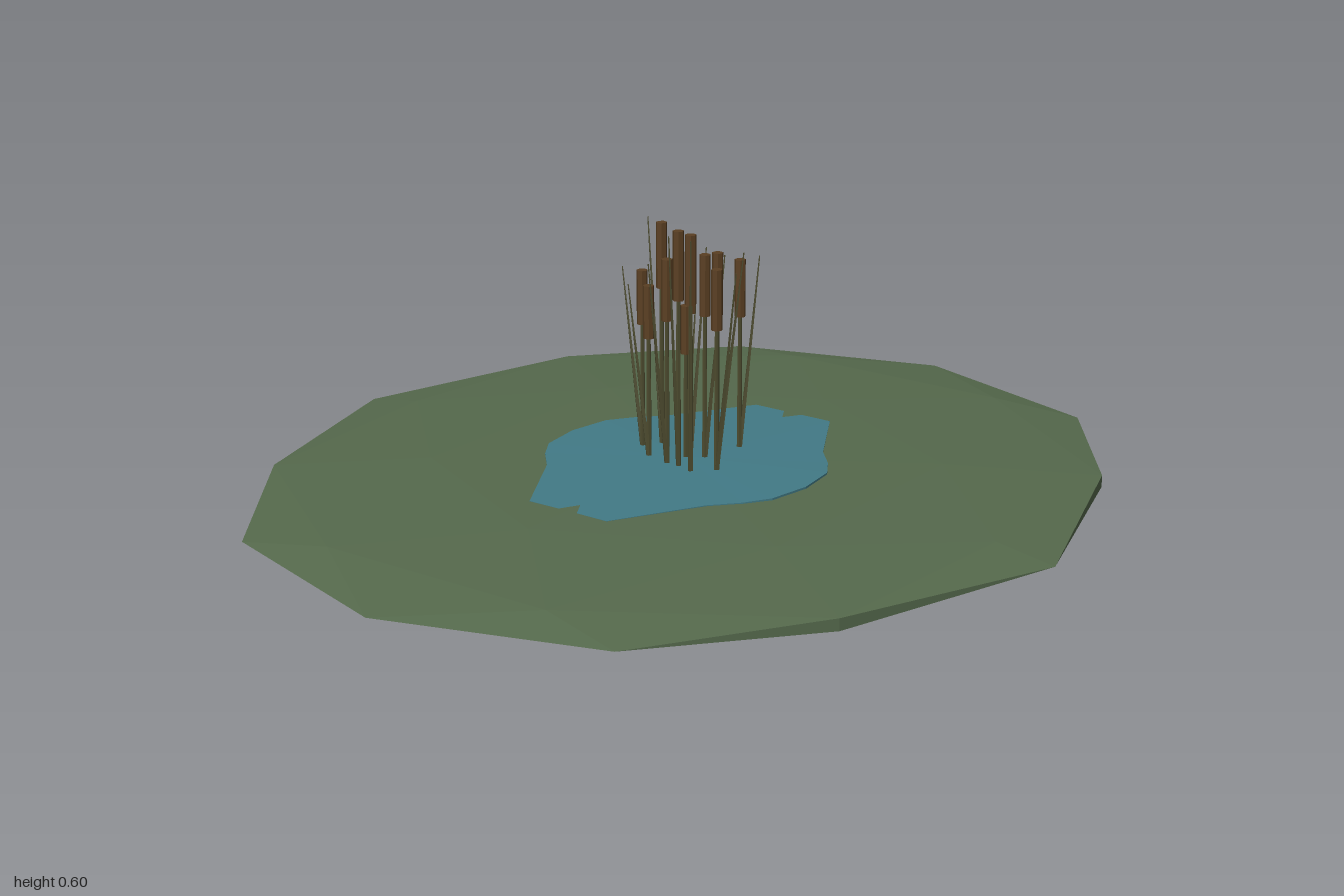
import * as THREE from 'three';

const flat = (name, color) => {
  const m = new THREE.MeshStandardMaterial({ color });
  m.name = name;
  m.flatShading = true;
  return m;
};

// Low-poly pond: a shallow fan with a short skirt that sinks into the bank
function pondGeometry() {
  const quarter = [[0.4, 0.1, 0.079], [0.21, 0.21, 0.0815], [0.155, 0.26, 0.082], [0.1, 0.295, 0.083]];
  const mirror = (sx, sz, list) => list.map(([x, z, y]) => [x * sx, y, z * sz]);
  const back = [...quarter].reverse();
  const rim = [
    ...mirror(1, 1, quarter), [0, 0.083, 0.31], ...mirror(-1, 1, back),
    ...mirror(-1, -1, quarter), [0, 0.083, -0.31], ...mirror(1, -1, back),
  ];
  const centre = [0, 0.086, 0];
  const low = ([x, y, z]) => [x, 0.072, z];
  const pos = [];
  rim.forEach((a, i) => {
    const b = rim[(i + 1) % rim.length];
    pos.push(...centre, ...b, ...a);
    pos.push(...a, ...b, ...low(b), ...a, ...low(b), ...low(a));
  });
  const g = new THREE.BufferGeometry();
  g.setAttribute('position', new THREE.Float32BufferAttribute(pos, 3));
  g.computeVertexNormals();
  return g;
}

export function createModel() {
  const root = new THREE.Group();
  root.name = 'cattailPond';
  const grass = flat('grass green', 0x55694c);
  const water = flat('pond blue', 0x427a86);
  const reed = flat('reed green', 0x4c4a2e);
  const brown = flat('cattail brown', 0x5a3f22);

  const add = (parent, name, geometry, material) => {
    const mesh = new THREE.Mesh(geometry, material);
    mesh.name = name;
    parent.add(mesh);
    return mesh;
  };

  // Flattened faceted mound
  const mound = new THREE.IcosahedronGeometry(1, 1).scale(1, 0.042, 0.9).translate(0, 0.042, 0);
  add(root, 'mound', mound, grass);
  add(root, 'pond', pondGeometry(), water);

  // Cattails: x, z, top height, direction the leaf leans (x, z)
  const cattails = [
    [0.01, -0.123, 0.475, 0, -0.053], [-0.037, -0.07, 0.46, -0.018, -0.04],
    [0.048, -0.1, 0.575, 0.022, -0.053], [-0.053, -0.01, 0.53, -0.054, -0.007],
    [-0.053, 0.02, 0.595, -0.049, 0.012], [-0.064, 0.06, 0.595, -0.043, 0.032],
    [-0.027, 0.1, 0.52, -0.005, 0.052], [0, 0, 0.42, 0.035, 0],
    [0.022, -0.005, 0.53, 0.053, 0.003], [0.024, 0.032, 0.53, 0.022, 0.035],
    [0.022, 0.066, 0.54, 0.032, 0.044], [0.128, 0.048, 0.5, 0.048, 0.016],
  ];
  const base = 0.07;
  const up = new THREE.Vector3(0, 1, 0);
  cattails.forEach(([x, z, top, dx, dz]) => {
    const plant = new THREE.Group();
    plant.name = 'cattail';
    plant.position.set(x, base, z);
    root.add(plant);
    const h = top - base;

    // Stem and seed head
    const stem = add(plant, 'stem', new THREE.CylinderGeometry(0.004, 0.006, h - 0.02, 6), reed);
    stem.position.y = (h - 0.02) / 2;
    const headLength = top * 0.25;
    const head = add(plant, 'seedHead', new THREE.CylinderGeometry(0.012, 0.012, headLength, 7), brown);
    head.position.y = h - headLength / 2;

    // Leaning tapered leaf
    const lean = new THREE.Vector3(dx, h, dz);
    const leaf = add(plant, 'leaf', new THREE.CylinderGeometry(0.0015, 0.006, lean.length(), 4), reed);
    leaf.position.copy(lean).multiplyScalar(0.5);
    leaf.quaternion.setFromUnitVectors(up, lean.clone().normalize());
  });
  return root;
}
